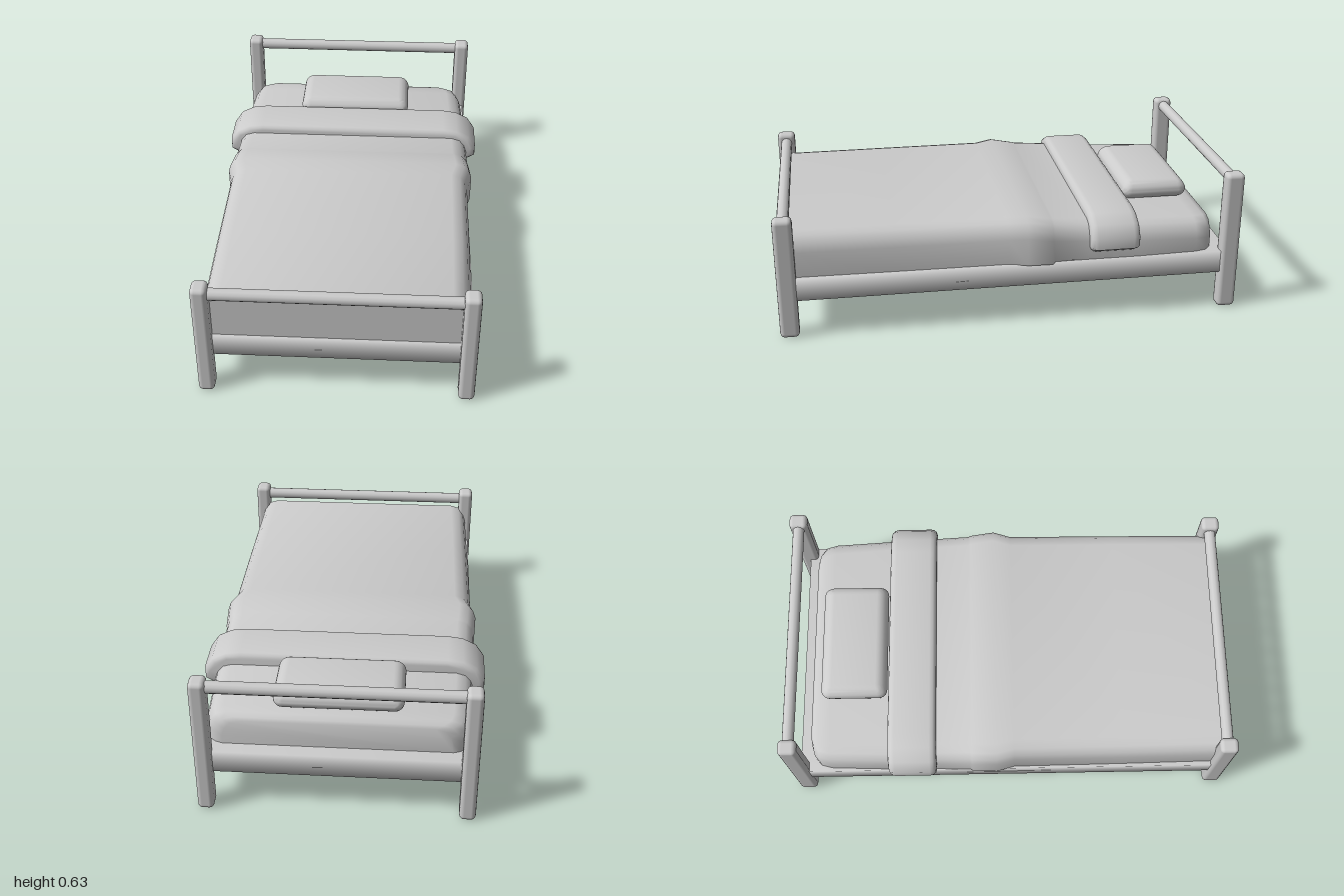
import * as THREE from 'three';
import { RoundedBoxGeometry } from 'three/addons/geometries/RoundedBoxGeometry.js';
import { mergeVertices, toCreasedNormals } from 'three/addons/utils/BufferGeometryUtils.js';

const material = new THREE.MeshStandardMaterial({ color: 0xcccccc });

function add(parent, name, geometry, x = 0, y = 0, z = 0) {
  const mesh = new THREE.Mesh(geometry, material);
  mesh.name = name;
  mesh.position.set(x, y, z);
  parent.add(mesh);
  return mesh;
}

// Bedding cross-section: straight sides with softened upper edges.
const section = (w, top, bottom) => [
  [-w, bottom], [-w, top - 0.075], [-w + 0.012, top - 0.04], [-w + 0.035, top - 0.012], [-w + 0.075, top],
  [w - 0.075, top], [w - 0.035, top - 0.012], [w - 0.012, top - 0.04], [w, top - 0.075], [w, bottom],
];

// Skin a closed body through stations [z, halfWidth, top, bottom], from -z to +z.
function loft(stations) {
  const pos = [], idx = [], n = 10;
  for (const [z, w, top, bottom] of stations) {
    for (const [x, y] of section(w, top, bottom)) pos.push(x, y, z);
  }
  for (let i = 0; i < stations.length - 1; i++) {
    for (let j = 0; j < n; j++) {
      const a = i * n + j, b = i * n + (j + 1) % n;
      idx.push(a, a + n, b, b, a + n, b + n);
    }
  }
  const e = (stations.length - 1) * n;
  for (let k = 1; k < n - 1; k++) idx.push(0, k, k + 1, e, e + k + 1, e + k);
  const g = new THREE.BufferGeometry();
  g.setAttribute('position', new THREE.Float32BufferAttribute(pos, 3));
  g.setIndex(idx);
  return toCreasedNormals(g, 0.9);
}

export function createModel() {
  const bed = new THREE.Group();
  bed.name = 'bed';

  // Frame block with fully smoothed edges
  let frame = new THREE.BoxGeometry(1.12, 0.1, 1.91);
  frame.deleteAttribute('normal');
  frame.deleteAttribute('uv');
  frame = mergeVertices(frame);
  frame.computeVertexNormals();
  add(bed, 'frame', frame, 0, 0.22, 0);

  // Posts and top rails at the foot (+z) and the head (-z)
  for (const [end, z, h, railY] of [['foot', 0.96, 0.54, 0.495], ['head', -0.958, 0.63, 0.595]]) {
    for (const side of [-1, 1]) {
      add(bed, end + (side > 0 ? 'LeftPost' : 'RightPost'),
        new RoundedBoxGeometry(0.068, h, 0.082, 2, 0.02), side * 0.538, h / 2, z);
    }
    const rail = new THREE.CylinderGeometry(0.026, 0.026, 1.06, 12);
    rail.rotateZ(Math.PI / 2);
    add(bed, end + 'Rail', rail, 0, railY, z);
  }

  // Mattress, rounded in plan at the head
  add(bed, 'mattress', loft([
    [-0.895, 0.47, 0.385, 0.27], [-0.885, 0.5, 0.397, 0.27], [-0.86, 0.53, 0.404, 0.27],
    [-0.81, 0.543, 0.406, 0.27], [-0.55, 0.553, 0.416, 0.27], [-0.1, 0.553, 0.43, 0.27],
  ]));

  // Blanket, bulging where it is turned back
  add(bed, 'blanket', loft([
    [-0.46, 0.552, 0.425, 0.275], [-0.33, 0.557, 0.433, 0.275], [-0.18, 0.56, 0.443, 0.272],
    [-0.17, 0.565, 0.445, 0.262], [-0.06, 0.572, 0.464, 0.267], [0.02, 0.55, 0.456, 0.27],
    [0.5, 0.546, 0.456, 0.27], [0.945, 0.54, 0.456, 0.27],
  ]));

  // Folded band draped across the bed, bevelled front and back
  const half = [[0.56, 0.335], [0.577, 0.345], [0.577, 0.375], [0.55, 0.415], [0.5, 0.44], [0.44, 0.448]];
  const outline = [...half, ...half.map(([x, y]) => [-x, y]).reverse()];
  const band = new THREE.ExtrudeGeometry(
    new THREE.Shape(outline.map(([x, y]) => new THREE.Vector2(x, y))),
    { depth: 0.156, bevelSize: 0.024, bevelThickness: 0.03, bevelSegments: 3 });
  band.deleteAttribute('uv');
  add(bed, 'foldedBand', toCreasedNormals(band, 0.9), 0, 0, -0.515);

  // Pillow, slimmer toward its upper face
  const pillow = new RoundedBoxGeometry(0.535, 0.088, 0.298, 3, 0.04);
  const p = pillow.attributes.position;
  for (let i = 0; i < p.count; i++) {
    const t = Math.max(0, p.getY(i)) / 0.044;
    p.setX(i, p.getX(i) * (1 - 0.04 * t));
    p.setZ(i, p.getZ(i) * (1 - 0.1 * t));
  }
  pillow.deleteAttribute('uv');
  add(bed, 'pillow', toCreasedNormals(pillow, 1), 0, 0.453, -0.698);

  return bed;
}
